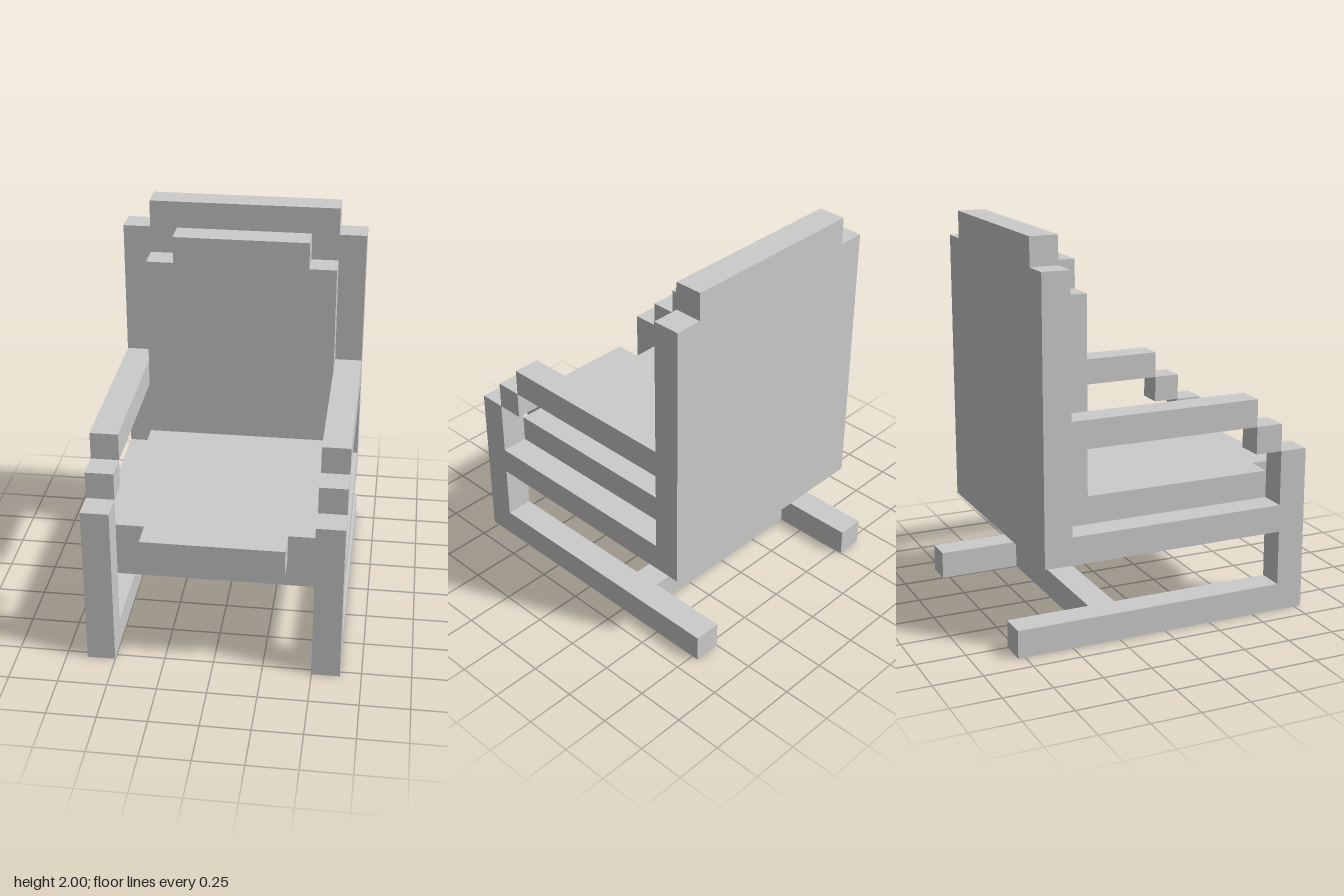
import * as THREE from 'three';

// The chair sits on a grid of cubes: 14 high, 9 wide, 11 deep
const U = 2 / 14;
const material = new THREE.MeshStandardMaterial({ color: 0xcccccc, flatShading: true });

// Box between two grid corners
function block(name, [x0, y0, z0], [x1, y1, z1]) {
  const geometry = new THREE.BoxGeometry((x1 - x0) * U, (y1 - y0) * U, (z1 - z0) * U);
  geometry.translate(((x0 + x1) / 2) * U, ((y0 + y1) / 2) * U, ((z0 + z1) / 2) * U);
  const mesh = new THREE.Mesh(geometry, material);
  mesh.name = name;
  return mesh;
}

// Panel one cube thick whose far edge steps in by one cube at both corners
function steppedPanel(halfWidth, start, end) {
  const w = halfWidth, s = end - 1;
  const outline = [[-w, start], [w, start], [w, s], [w - 1, s], [w - 1, end], [1 - w, end], [1 - w, s], [-w, s]];
  const shape = new THREE.Shape(outline.map(([x, y]) => new THREE.Vector2(x * U, y * U)));
  return new THREE.ExtrudeGeometry(shape, { depth: U, bevelEnabled: false });
}

function panel(name, geometry) {
  const mesh = new THREE.Mesh(geometry, material);
  mesh.name = name;
  return mesh;
}

export function createModel() {
  const chair = new THREE.Group();
  chair.name = 'armchair';

  // Backrest and its cushion
  chair.add(panel('backrest', steppedPanel(4.5, 3, 14).translate(0, 0, -4.5 * U)));
  chair.add(panel('backCushion', steppedPanel(3.5, 5, 13).translate(0, 0, -3.5 * U)));

  // Seat base, and the seat cushion laid flat with its stepped edge forward
  chair.add(block('seatBase', [-4.5, 3, -3.5], [4.5, 4, 4.5]));
  const cushion = steppedPanel(3.5, -3.5, 5.5).rotateX(Math.PI / 2).translate(0, 5 * U, 0);
  chair.add(panel('seatCushion', cushion));

  // Runner, front post and stepped armrest on each side
  for (const [side, x] of [['left', 3.5], ['right', -4.5]]) {
    const frame = new THREE.Group();
    frame.name = side + 'SideFrame';
    frame.add(
      block('runner', [x, 0, -5.5], [x + 1, 1, 5.5]),
      block('frontPost', [x, 1, 4.5], [x + 1, 6, 5.5]),
      block('armrestStep', [x, 6, 3.5], [x + 1, 7, 4.5]),
      block('armrest', [x, 7, -3.5], [x + 1, 8, 3.5]),
    );
    chair.add(frame);
  }

  // Bar joining the runners
  chair.add(block('crossbar', [-3.5, 0, -2.5], [3.5, 1, -1.5]));

  return chair;
}
